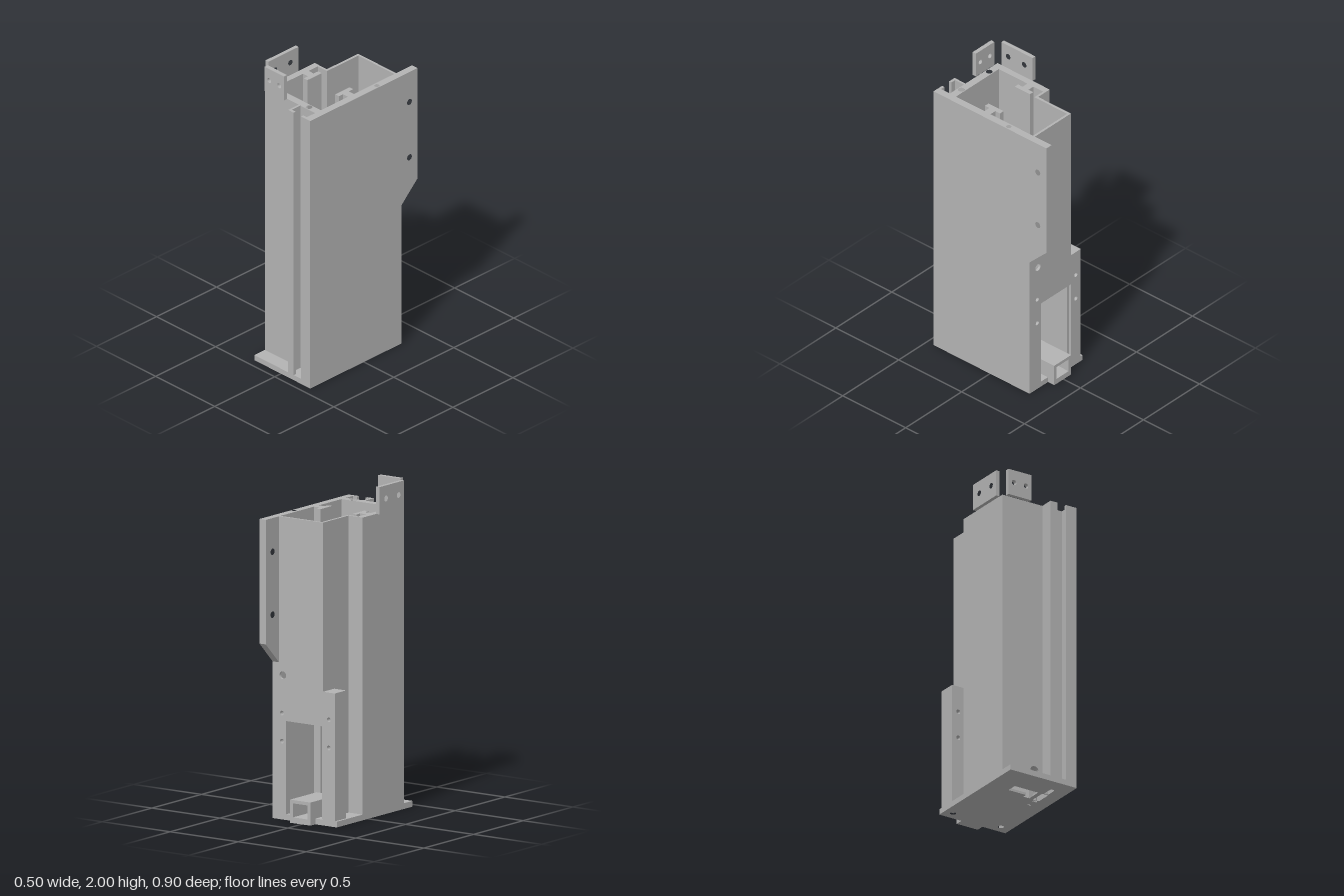
import * as THREE from 'three';

const grey = new THREE.MeshStandardMaterial({ color: 0xb3b3b3 });
grey.name = 'grey';

const rect = (a, b, c, d) => [[a, b], [c, b], [c, d], [a, d]];
const circle = (x, y, r) =>
  Array.from({ length: 24 }, (_, i) => {
    const t = (i / 24) * Math.PI * 2;
    return [x + r * Math.cos(t), y + r * Math.sin(t)];
  });
// slot along the second axis, with a rounded end at each side
const slot = (x, a, b, r) =>
  Array.from({ length: 18 }, (_, i) => {
    const t = ((i % 9) / 8 + (i < 9 ? 0 : 1)) * Math.PI;
    return [x + r * Math.cos(t), (i < 9 ? b - r : a + r) + r * Math.sin(t)];
  });

function extrude(points, holes, depth, map) {
  const vec = (list) => list.map((p) => new THREE.Vector2(...map(p)));
  const shape = new THREE.Shape(vec(points));
  shape.holes = holes.map((h) => new THREE.Path(vec(h)));
  return new THREE.ExtrudeGeometry(shape, { depth, bevelEnabled: false });
}

export function createModel() {
  const model = new THREE.Group();
  model.name = 'columnHousing';
  const add = (name, geometry) => {
    const mesh = new THREE.Mesh(geometry, grey);
    mesh.name = name;
    model.add(mesh);
  };
  // outlines given as [x, z], [z, y] and [x, y]
  const alongY = (name, y0, y1, pts, holes = []) =>
    add(name, extrude(pts, holes, y1 - y0, ([x, z]) => [x, -z]).rotateX(-Math.PI / 2).translate(0, y0, 0));
  const alongX = (name, x0, x1, pts, holes = []) =>
    add(name, extrude(pts, holes, x1 - x0, ([z, y]) => [-z, y]).rotateY(Math.PI / 2).translate(x0, 0, 0));
  const alongZ = (name, z0, z1, pts, holes = []) =>
    add(name, extrude(pts, holes, z1 - z0, (p) => p).translate(0, 0, z0));

  const floor = 0.035, top = 1.835, cap = 1.7;

  // base plate with cable openings and screw holes
  alongY('basePlate', 0, floor, rect(-0.225, -0.315, 0.247, 0.448), [
    rect(-0.075, 0.172, 0.092, 0.268),
    rect(0.12, 0.17, 0.163, 0.268),
    slot(0.143, 0.09, 0.168, 0.015),
    slot(0.143, 0.272, 0.35, 0.015),
    circle(-0.166, -0.255, 0.018),
    circle(0.175, -0.255, 0.018),
  ]);
  alongY('rearFloorRib', floor, 0.05, rect(-0.075, 0.087, 0.092, 0.138));
  alongY('frontFloorRib', floor, 0.05, rect(-0.075, 0.297, 0.092, 0.312));

  // large side panel with the rear flange
  alongX('sidePanel', 0.2, 0.247,
    [[0.448, 0], [0.448, cap], [-0.448, cap], [-0.448, 1.08], [-0.315, 0.95], [-0.315, 0]],
    [circle(-0.38, 1.63, 0.02), circle(-0.38, 1.25, 0.02)]);
  alongY('sidePanelTop', cap, top, rect(0.2, -0.448, 0.247, 0.448), [circle(0.225, -0.13, 0.016)]);

  // opposite wall, stepped in at the rear, with its inner hooked rail
  alongY('steppedWall', floor, top, [
    [-0.225, 0.36], [-0.183, 0.36], [-0.183, 0.085], [-0.14, 0.085], [-0.14, 0.12], [-0.11, 0.12],
    [-0.11, 0], [-0.14, 0], [-0.14, 0.037], [-0.183, 0.037], [-0.183, -0.04], [-0.105, -0.04],
    [-0.105, -0.3], [-0.122, -0.3], [-0.122, -0.055], [-0.225, -0.055],
  ]);
  alongY('hookedRail', floor, top, [
    [0.2, 0.037], [0.157, 0.037], [0.157, 0], [0.125, 0],
    [0.125, 0.12], [0.157, 0.12], [0.157, 0.085], [0.2, 0.085],
  ]);

  // front wall with cable hole and slot opening
  alongZ('frontWall', 0.312, 0.36,
    [[-0.183, floor], [0.107, floor], [0.107, 0.2], [0.168, 0.2], [0.168, floor], [0.2, floor], [0.2, cap], [-0.183, cap]],
    [circle(0.005, 0.085, 0.03)]);
  alongY('frontWallTop', cap, top, rect(-0.183, 0.312, 0.2, 0.36),
    [circle(-0.125, 0.337, 0.02), circle(0.125, 0.337, 0.02)]);

  // T-shaped channel on the front
  alongY('channelSide', floor, top,
    [[0.06, 0.36], [0.075, 0.36], [0.075, 0.43], [0.108, 0.43], [0.108, 0.448], [0.06, 0.448]]);
  alongY('channelLip', floor, top, rect(0.17, 0.43, 0.2, 0.448));

  // rear wall with window, and the two screw posts beside it
  const screws = (x) => [circle(x, 0.475, 0.014), circle(x, 0.645, 0.014)];
  alongZ('rearWall', -0.315, -0.3,
    [[-0.122, 0.6], [0.147, 0.6], [0.147, floor], [0.2, floor], [0.2, top], [-0.122, top]],
    [...screws(0.178), circle(0.172, 0.875, 0.024)]);
  alongZ('outerPost', -0.315, -0.2, rect(-0.21, floor, -0.122, 0.81), screws(-0.166));
  alongZ('innerPost', -0.3, -0.2, rect(0.147, floor, 0.2, 0.81), screws(0.178));

  // square cable duct
  alongZ('cableDuct', -0.365, -0.095, rect(-0.067, 0, 0.083, 0.14), [rect(-0.045, floor, 0.061, 0.12)]);

  // mounting tabs on top
  alongZ('frontTab', 0.362, 0.388, rect(-0.2, top, -0.035, 2),
    [circle(-0.16, 1.92, 0.016), circle(-0.075, 1.92, 0.016)]);
  alongX('sideTab', -0.249, -0.225, rect(0.08, top, 0.33, 2),
    [circle(0.275, 1.92, 0.018), circle(0.148, 1.92, 0.018)]);

  return model;
}
